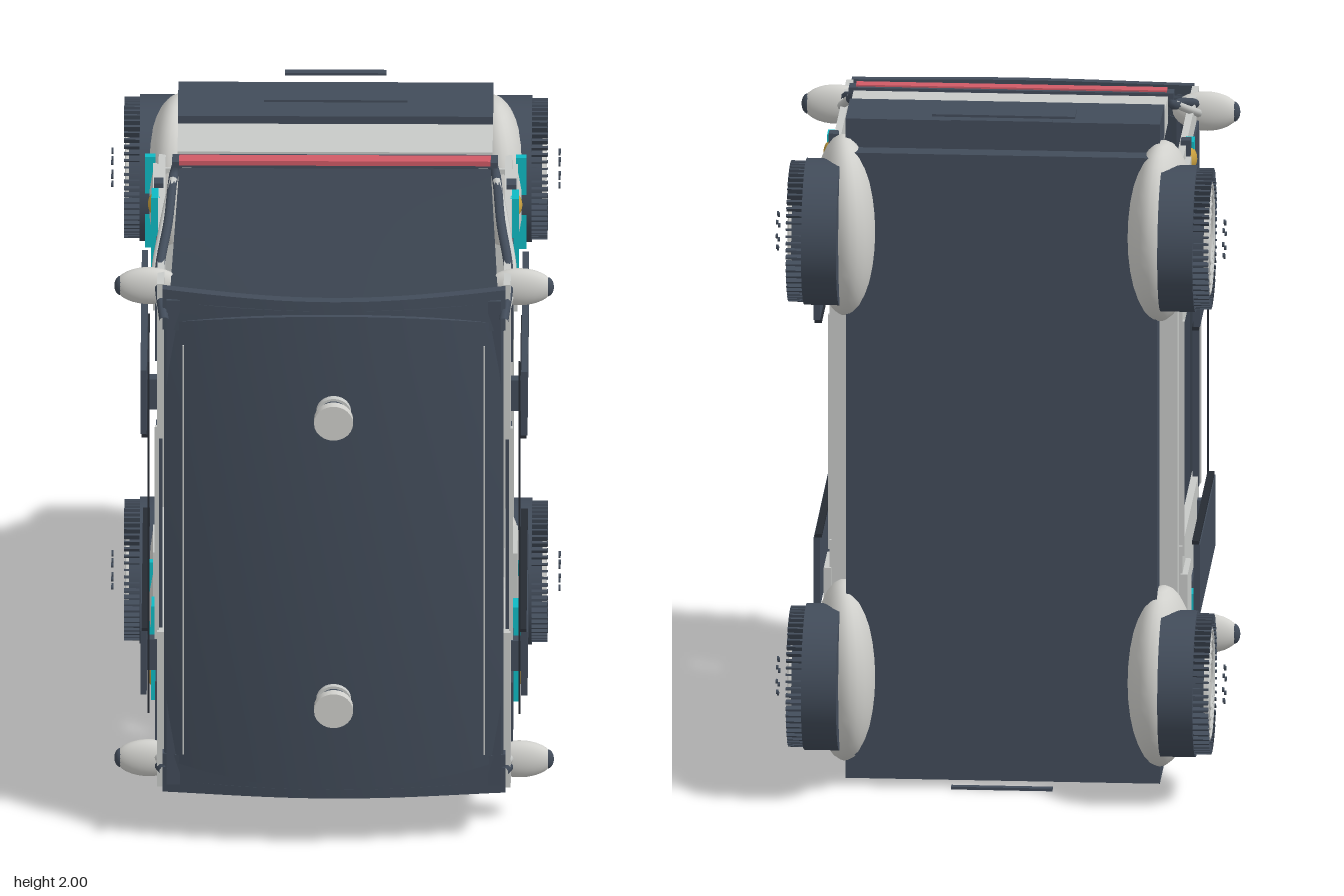
import * as THREE from 'three';
import { toCreasedNormals } from 'three/addons/utils/BufferGeometryUtils.js';

const paint = (name, color) => Object.assign(new THREE.MeshStandardMaterial({ color }), { name });

export function createModel() {
  const slate = paint('slate', 0x424c5a);
  const glass = paint('dark glass', 0x39424e);
  const black = paint('rubber black', 0x262b33);
  const grey = paint('body grey', 0xc8cac8);
  const pale = paint('pale grey', 0xd0d0cc);
  const teal = paint('teal', 0x0fbac4);
  const gold = paint('gold', 0xc79e3e);
  const red = paint('red', 0xd05a66);
  glass.side = THREE.DoubleSide;

  const model = new THREE.Group();
  model.name = 'shuttle';

  const add = (parent, name, geo, mat, x = 0, y = 0, z = 0) => {
    const m = new THREE.Mesh(geo, mat);
    m.name = name;
    m.position.set(x, y, z);
    parent.add(m);
    return m;
  };
  // box given by its limits on each axis
  const box = (parent, name, mat, x0, x1, y0, y1, z0, z1) =>
    add(parent, name, new THREE.BoxGeometry(Math.abs(x1 - x0), y1 - y0, z1 - z0), mat,
      (x0 + x1) / 2, (y0 + y1) / 2, (z0 + z1) / 2);
  const ball = (parent, name, mat, x, y, z, rx, ry, rz) => {
    const m = add(parent, name, new THREE.SphereGeometry(1, 24, 16), mat, x, y, z);
    m.scale.set(rx, ry, rz);
    return m;
  };
  const tube = (parent, name, mat, points, r) => add(parent, name, new THREE.TubeGeometry(
    new THREE.CatmullRomCurve3(points.map(p => new THREE.Vector3(...p))), 20, r, 8), mat);
  // disc along x between two x limits
  const disc = (parent, name, mat, r, x0, x1, sides = 48) => {
    const geo = new THREE.CylinderGeometry(r, r, x1 - x0, sides).rotateZ(Math.PI / 2);
    return add(parent, name, geo, mat, (x0 + x1) / 2);
  };

  // arched slab: closed cross-sections over x, lofted along y
  function archedSlab(half, yAt, zAt, thick) {
    const N = 20, rows = [-1, -1, -0.8, -0.6, -0.4, -0.2, 0, 0.2, 0.4, 0.6, 0.8, 1, 1];
    const pos = [], idx = [], n = 2 * (N + 1);
    rows.forEach((s, r) => {
      const t = r === 0 || r === rows.length - 1 ? 0 : thick;
      for (let k = 0; k < n; k++) {
        const top = k <= N, i = top ? k : n - 1 - k;
        const u = 1 - 2 * i / N, y = yAt(u, s), z = zAt(u, y);
        pos.push(u * half, y, top ? z - (thick - t) / 2 : z - (thick + t) / 2);
      }
    });
    for (let r = 0; r < rows.length - 1; r++) for (let k = 0; k < n; k++) {
      const a = r * n + k, b = r * n + (k + 1) % n;
      idx.push(a, a + n, b + n, a, b + n, b);
    }
    const g = new THREE.BufferGeometry();
    g.setAttribute('position', new THREE.Float32BufferAttribute(pos, 3));
    g.setIndex(idx);
    return toCreasedNormals(g, 0.6);
  }
  const roofZ = (u, y) => 0.607 - 0.07 * u * u - 0.022 * ((y - 1) / 0.82) ** 2;

  // roof, floor and underbody
  add(model, 'roof', archedSlab(0.485, (u, s) => 1 + s * (0.78 - 0.06 * u * u), roofZ, 0.03), slate);
  box(model, 'floor', grey, -0.495, 0.495, 0.2, 1.8, -0.31, -0.22);
  box(model, 'underbody', slate, -0.445, 0.445, 0.1, 1.9, -0.45, -0.34);

  // long rails on both sides
  for (const s of [-1, 1]) {
    box(model, 'roofStrip', grey, s * 0.428, s * 0.432, 0.33, 1.68, 0.577, 0.582);
    box(model, 'doorTrack', black, s * 0.527, s * 0.533, 0.42, 1.58, 0.492, 0.502);
    box(model, 'headerRail', slate, s * 0.49, s * 0.508, 0.65, 1.35, 0.435, 0.465);
    box(model, 'headerTrim', grey, s * 0.5, s * 0.512, 0.65, 1.35, 0.465, 0.478);
    box(model, 'roofSideRail', slate, s * 0.44, s * 0.478, 0.2, 1.8, 0.5, 0.53);
    box(model, 'sillRail', grey, s * 0.495, s * 0.51, 0.65, 1.35, -0.24, -0.222);
  }

  function makeWheel() {
    const w = new THREE.Group();
    w.name = 'wheel';
    disc(w, 'tyre', slate, 0.21, 0.46, 0.56);
    disc(w, 'tyreShoulder', slate, 0.175, 0.56, 0.59);
    disc(w, 'hub', pale, 0.17, 0.56, 0.598);
    // raised rings on the hub
    for (const r of [0.07, 0.1, 0.128, 0.155])
      add(w, 'hubRing', new THREE.TorusGeometry(r, 0.005, 6, 40).rotateY(Math.PI / 2), grey, 0.598);
    // tread teeth
    for (let i = 0; i < 60; i++) {
      const a = i / 60 * Math.PI * 2;
      const t = box(w, 'treadTooth', slate, 0.558, 0.605, -0.003, 0.003, -0.012, 0.012);
      t.position.y = 0.19 * Math.sin(a);
      t.position.z = 0.19 * Math.cos(a);
      t.rotation.x = -a;
    }
    // wheel bolts
    for (let i = 0; i < 8; i++) {
      const a = i / 8 * Math.PI * 2;
      const b = disc(w, 'wheelBolt', slate, 0.007, 0.636, 0.642, 8);
      b.position.y = 0.052 * Math.sin(a);
      b.position.z = 0.052 * Math.cos(a);
    }
    return w;
  }

  function makeEnd(name, lightColour) {
    const e = new THREE.Group();
    e.name = name;
    // nose
    box(e, 'noseBand', grey, -0.45, 0.45, 1.88, 1.96, -0.2, -0.04);
    box(e, 'bumper', slate, -0.45, 0.45, 1.89, 1.985, -0.395, -0.2);
    box(e, 'bumperPlate', slate, -0.205, 0.205, 1.985, 1.992, -0.36, -0.28);
    box(e, 'towPlate', slate, -0.145, 0.145, 1.992, 2, -0.44, -0.42);
    // light bar
    box(e, 'lightBarFrame', slate, -0.465, 0.465, 1.945, 1.963, -0.022, 0.024);
    box(e, 'lightBar', lightColour, -0.445, 0.445, 1.953, 1.968, -0.009, 0.026);
    box(e, 'lightBarMount', slate, -0.41, 0.41, 1.915, 1.945, -0.03, 0);
    // seat behind the doorway
    box(e, 'seat', grey, -0.4, 0.4, 1.34, 1.7, -0.22, -0.13);
    // windscreen: a bowed sheet leaning back to the roof
    const g = new THREE.PlaneGeometry(2, 1, 16, 8), p = g.attributes.position;
    for (let i = 0; i < p.count; i++) {
      const u = p.getX(i), v = 0.5 - p.getY(i), bow = 1 - u * u;
      p.setXYZ(i, u * (0.445 + 0.025 * v), 1.935 - 0.145 * v, 0.01 + 0.51 * v + 0.055 * v * bow);
    }
    g.computeVertexNormals();
    add(e, 'windscreen', g, glass);
    // visor under the roof edge, rising at its corners
    add(e, 'visor', archedSlab(0.49, (u, s) => 1.765 + s * (0.055 + 0.01 * u * u),
      (u, y) => roofZ(u, y) + 0.004 - 0.016 * (1 - u ** 4), 0.025), slate);
    // roof lamp
    [[0.05, 0.58, 0.615, grey], [0.042, 0.615, 0.645, slate], [0.056, 0.645, 0.67, pale]].forEach(([r, a, b, m]) =>
      add(e, 'roofLamp', new THREE.CylinderGeometry(r, r, b - a, 24).rotateX(Math.PI / 2), m, 0, 1.475, (a + b) / 2));

    for (const s of [-1, 1]) {
      // side wall with window and coloured strips
      box(e, 'sideWall', grey, s * 0.485, s * 0.505, 1.32, 1.83, -0.25, 0.49);
      box(e, 'lowerSide', grey, s * 0.5, s * 0.521, 1.4, 1.8, -0.26, -0.1);
      box(e, 'sideWindow', slate, s * 0.505, s * 0.511, 1.53, 1.76, 0.1, 0.41);
      box(e, 'tealStrip', teal, s * 0.5, s * 0.525, 1.52, 1.83, -0.055, 0);
      box(e, 'tealEdge', teal, s * 0.515, s * 0.545, 1.52, 1.82, -0.27, -0.25);
      box(e, 'hinge', slate, s * 0.49, s * 0.518, 1.74, 1.845, -0.09, -0.055);
      box(e, 'hingeArm', grey, s * 0.5, s * 0.518, 1.54, 1.7, -0.085, -0.06);
      ball(e, 'sideLamp', gold, s * 0.512, 1.78, -0.053, 0.023, 0.034, 0.034);
      // sliding door
      box(e, 'door', slate, s * 0.535, s * 0.553, 1.325, 1.535, -0.21, 0.475);
      box(e, 'doorEdge', black, s * 0.53, s * 0.55, 1.315, 1.325, -0.21, 0.475);
      box(e, 'doorBracket', slate, s * 0.505, s * 0.535, 1.38, 1.48, 0.4, 0.43);
      // armrest with its rod and button
      box(e, 'armrest', slate, s * 0.44, s * 0.475, 1.27, 1.32, -0.02, 0.07);
      box(e, 'armrestRod', slate, s * 0.45, s * 0.47, 1.32, 1.34, -0.2, 0.25);
      box(e, 'armrestButton', red, s * 0.45, s * 0.46, 1.285, 1.305, 0.07, 0.073);
      // windscreen pillars
      tube(e, 'pillar', slate, [[s * 0.44, 1.955, 0.012], [s * 0.455, 1.93, 0], [s * 0.475, 1.87, 0.2],
        [s * 0.5, 1.805, 0.4], [s * 0.485, 1.745, 0.55]], 0.014);
      tube(e, 'pillarTrim', grey, [[s * 0.462, 1.915, 0.04], [s * 0.49, 1.85, 0.2],
        [s * 0.51, 1.79, 0.36], [s * 0.495, 1.75, 0.48]], 0.012);
      // corner lamp with a dark tip
      ball(e, 'cornerLamp', pale, s * 0.53, 1.78, 0.412, 0.096, 0.058, 0.034);
      ball(e, 'cornerLampTip', slate, s * 0.61, 1.78, 0.412, 0.018, 0.03, 0.018);
      // fender and wheel
      const f = ball(e, 'fender', pale, s * 0.455, 1.665, -0.385, 0.092, 0.265, 0.188);
      f.rotation.y = s * 0.15;
      const w = makeWheel();
      w.position.set(0, 1.665, -0.457);
      if (s < 0) w.rotation.y = Math.PI;
      e.add(w);
    }
    return e;
  }

  // both ends are alike but for the light bar, turned half round about the middle
  const upper = makeEnd('upperEnd', red), lower = makeEnd('lowerEnd', slate);
  lower.rotation.z = Math.PI;
  lower.position.y = 2;
  model.add(upper, lower);
  return model;
}
